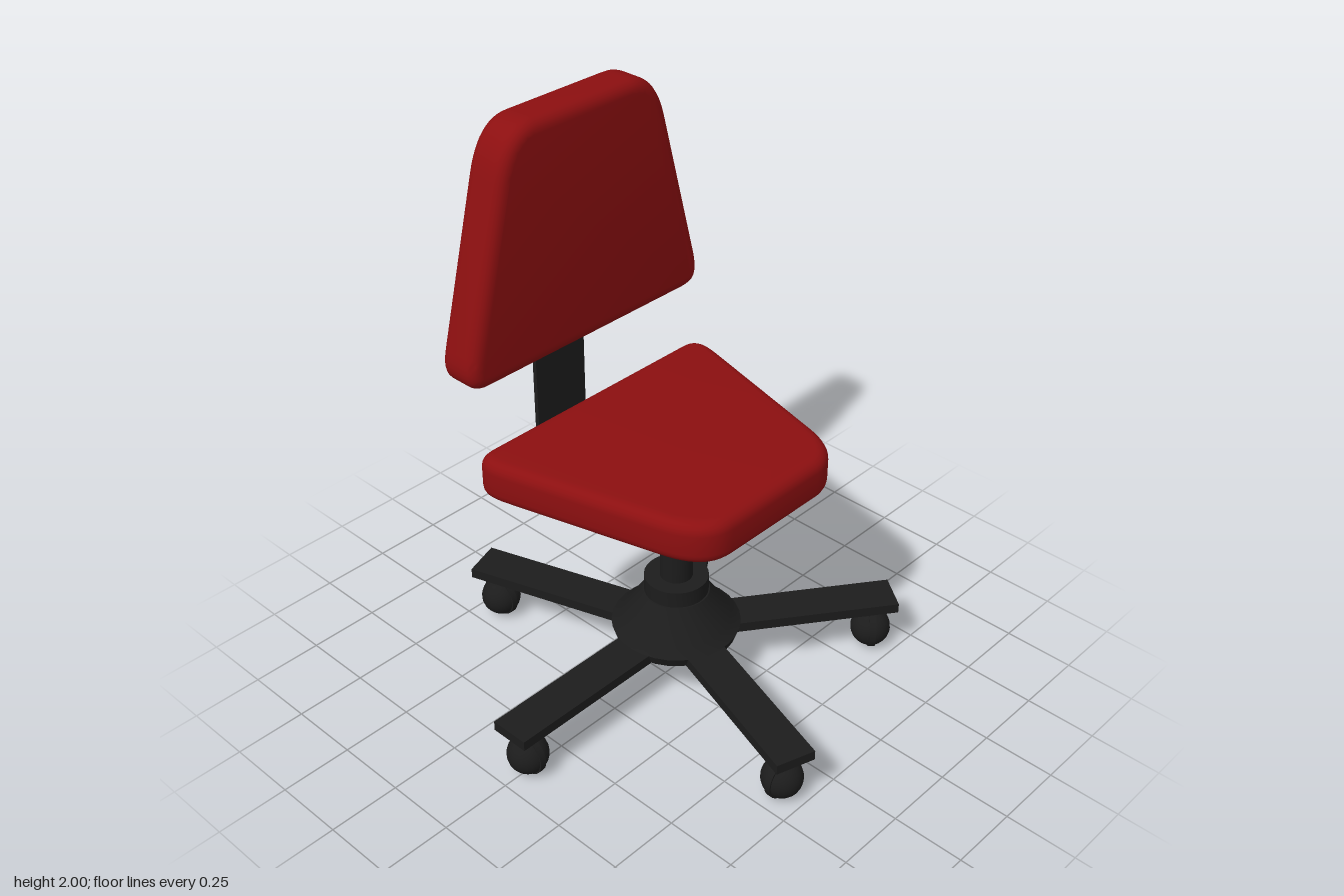
import * as THREE from 'three';
import { toCreasedNormals } from 'three/addons/utils/BufferGeometryUtils.js';

const CZ = -0.054; // z of the column axis
const red = new THREE.MeshStandardMaterial({ color: 0x8c0f10 });
const black = new THREE.MeshStandardMaterial({ color: 0x1c1c1c });

function add(parent, name, geometry, material, x = 0, y = 0, z = 0) {
  const mesh = new THREE.Mesh(geometry, material);
  mesh.name = name;
  mesh.position.set(x, y, z);
  parent.add(mesh);
  return mesh;
}

// Rounded trapezoid pad, wide end at y = 0, thickness centred on x = 0
function padGeometry(thickness) {
  const s = new THREE.Shape();
  s.moveTo(-0.44, 0);
  s.lineTo(0.44, 0);
  s.quadraticCurveTo(0.535, 0, 0.503, 0.12);
  s.lineTo(0.36, 0.66);
  s.quadraticCurveTo(0.318, 0.82, 0.2, 0.82);
  s.lineTo(-0.2, 0.82);
  s.quadraticCurveTo(-0.318, 0.82, -0.36, 0.66);
  s.lineTo(-0.503, 0.12);
  s.quadraticCurveTo(-0.535, 0, -0.44, 0);
  const bevel = 0.04;
  const g = new THREE.ExtrudeGeometry(s, {
    depth: thickness - 2 * bevel, curveSegments: 12, bevelEnabled: true,
    bevelThickness: bevel, bevelSize: bevel, bevelOffset: -bevel, bevelSegments: 5,
  });
  g.translate(0, 0, bevel - thickness / 2);
  g.rotateY(Math.PI / 2);
  return toCreasedNormals(g, 0.9);
}

// Ball wheel split by a thin central disc, hung on a stem
function createCastor(turn) {
  const castor = new THREE.Group();
  castor.name = 'castor';
  add(castor, 'wheelBall', new THREE.SphereGeometry(0.07, 24, 16), black, 0, 0.075, 0);
  const disc = new THREE.CylinderGeometry(0.074, 0.074, 0.022, 28).rotateZ(Math.PI / 2);
  add(castor, 'wheelDisc', disc, black, 0, 0.075, 0);
  add(castor, 'castorStem', new THREE.CylinderGeometry(0.012, 0.012, 0.06, 12), black, 0, 0.16, 0);
  castor.rotation.y = turn;
  return castor;
}

export function createModel() {
  const chair = new THREE.Group();
  chair.name = 'swivelChair';

  // Cushions
  add(chair, 'backrest', padGeometry(0.155), red, -0.453, 1.18, CZ);
  add(chair, 'seat', padGeometry(0.15).rotateZ(-Math.PI / 2), red, -0.4, 0.885, CZ);

  // Bent metal strip joining seat and backrest
  add(chair, 'backStrip', new THREE.BoxGeometry(0.016, 0.97, 0.22), black, -0.544, 1.275, CZ);
  add(chair, 'underStrip', new THREE.BoxGeometry(0.55, 0.016, 0.22), black, -0.277, 0.798, CZ);
  add(chair, 'seatPlate', new THREE.BoxGeometry(0.32, 0.02, 0.36), black, 0, 0.802, CZ);

  // Gas column and collar
  add(chair, 'column', new THREE.CylinderGeometry(0.056, 0.056, 0.5, 32), black, 0, 0.55, CZ);
  add(chair, 'columnCollar', new THREE.CylinderGeometry(0.061, 0.061, 0.045, 32), black, 0, 0.58, CZ);

  // Flared hub
  const profile = [[0, 0.18], [0.21, 0.18], [0.222, 0.215], [0.19, 0.24], [0.115, 0.35], [0.11, 0.35],
    [0.11, 0.41], [0, 0.41]].map(([r, y]) => new THREE.Vector2(r, y));
  const hub = toCreasedNormals(new THREE.LatheGeometry(profile, 30).toNonIndexed(), 0.5);
  add(chair, 'hub', hub, black, 0, 0, CZ);

  // Five arms with castors, each castor swivelled its own way
  const swivels = [Math.PI / 2, 0, 0.8, 0, Math.PI / 2];
  swivels.forEach((swivel, i) => {
    const angle = (i * Math.PI * 2) / 5;
    const arm = new THREE.Group();
    arm.name = 'baseArm';
    arm.position.z = CZ;
    arm.rotation.y = angle;
    add(arm, 'armBar', new THREE.BoxGeometry(0.14, 0.036, 0.774), black, 0, 0.197, 0.387);
    const castor = createCastor(swivel - angle);
    castor.position.z = 0.7;
    arm.add(castor);
    chair.add(arm);
  });

  return chair;
}
